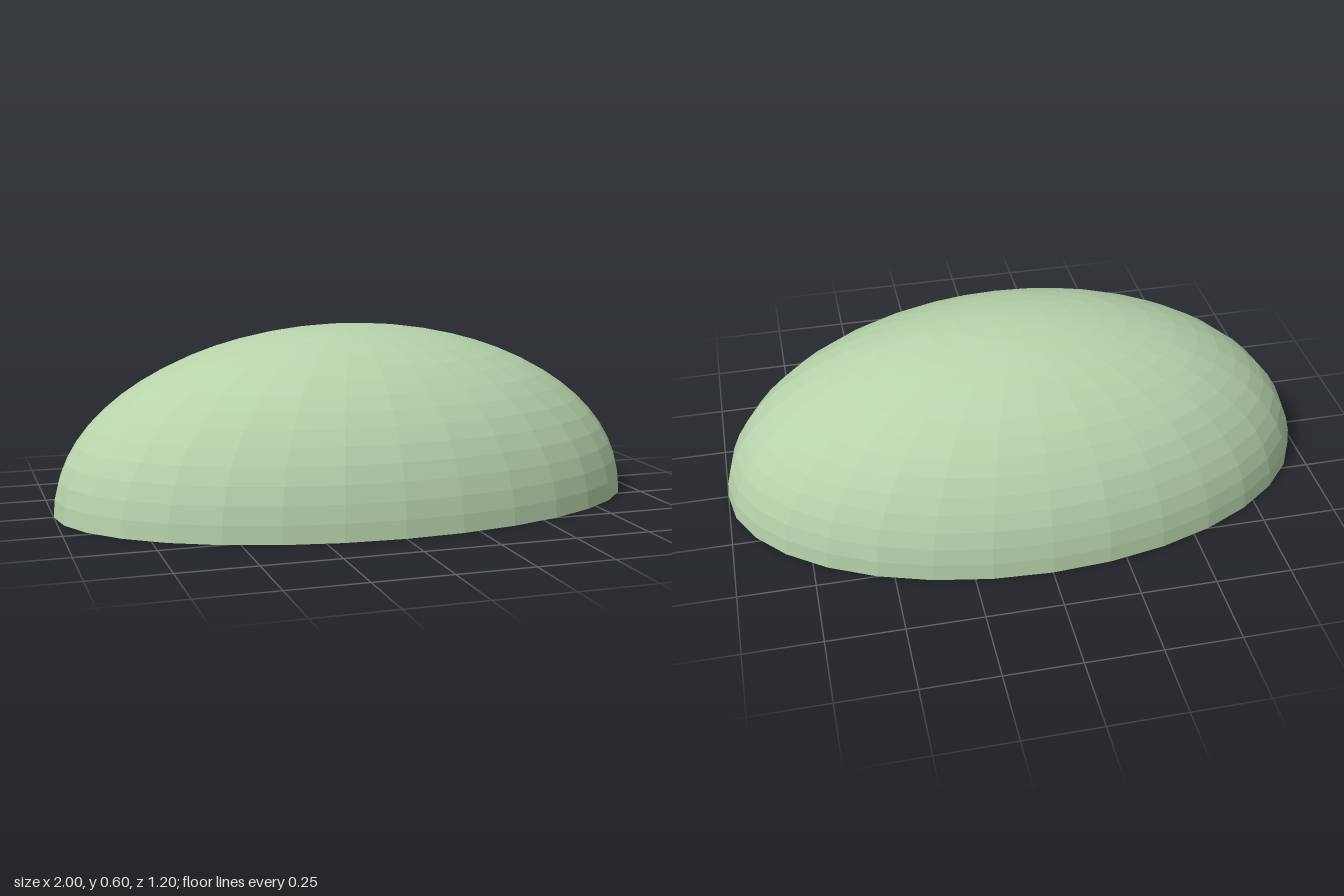
import * as THREE from 'three';

const FLOOR = 0.27; // height of the flat ceiling inside the hollow

const mat = (color) => new THREE.MeshStandardMaterial({ color, flatShading: true });
const green = mat(0xb7d3ab);
const red = mat(0xe02030);
const blue = mat(0x98a2cc);
const pink = mat(0xd8a0c0);
const teal = mat(0x4a9fb0);

function add(parent, name, geometry, material, x = 0, y = 0, z = 0) {
  const mesh = new THREE.Mesh(geometry, material);
  mesh.name = name;
  mesh.position.set(x, y, z);
  parent.add(mesh);
  return mesh;
}

// Flattened ball with a ring of cone spikes leaning outwards and down
function spikyBody(name, radius, height, spikes, spikeSize) {
  const group = new THREE.Group();
  group.name = name;
  add(group, 'spikyBodyCore', new THREE.SphereGeometry(radius, 24, 16), red).scale.y = height / radius;
  const up = new THREE.Vector3(0, 1, 0);
  for (let i = 0; i < spikes; i++) {
    const a = (i / spikes) * Math.PI * 2;
    const dir = new THREE.Vector3(Math.cos(a), -0.45, Math.sin(a)).normalize();
    const spike = add(group, 'spike', new THREE.ConeGeometry(spikeSize * 0.4, spikeSize, 4), red,
      Math.cos(a) * radius * 0.92, -height * 0.4, Math.sin(a) * radius * 0.92);
    spike.quaternion.setFromUnitVectors(up, dir);
  }
  return group;
}

export function createModel() {
  const model = new THREE.Group();
  model.name = 'halfCell';

  // Domed shell with a flat rim and a straight-walled oval hollow underneath
  const profile = [[0, FLOOR], [0.8, FLOOR], [0.8, 0]].map(([r, y]) => new THREE.Vector2(r, y));
  const rings = 16;
  for (let i = 0; i <= rings; i++) {
    const a = (i / rings) * Math.PI / 2;
    profile.push(new THREE.Vector2(i === rings ? 0 : Math.cos(a), 0.597 * Math.sin(a)));
  }
  const shell = new THREE.LatheGeometry(profile, 32);
  shell.scale(1, 1, 0.6);
  add(model, 'shell', shell, green);

  // Bodies set into the ceiling of the hollow
  add(model, 'nucleus', new THREE.SphereGeometry(0.2, 32, 20), blue, 0.04, 0.32, -0.04);
  add(model, 'vesicle', new THREE.SphereGeometry(0.075, 20, 14), pink, -0.28, 0.24, 0.15);
  add(model, 'vesicle', new THREE.SphereGeometry(0.06, 20, 14), pink, -0.44, 0.24, 0.02);
  add(model, 'tealBody', new THREE.SphereGeometry(0.075, 20, 14), teal, 0.29, 0.22, 0.22);

  const large = spikyBody('largeSpikyBody', 0.15, 0.08, 16, 0.06);
  large.position.set(0.4, 0.25, 0.14);
  model.add(large);
  const small = spikyBody('smallSpikyBody', 0.03, 0.025, 8, 0.035);
  small.position.set(-0.51, 0.25, -0.12);
  model.add(small);

  // Thin ridges curving along the end wall
  for (const y of [0.17, 0.2]) {
    const points = [];
    for (let i = 0; i <= 6; i++) {
      const a = Math.PI * (0.85 + 0.025 * i);
      points.push(new THREE.Vector3(0.79 * Math.cos(a), y, 0.474 * Math.sin(a)));
    }
    add(model, 'wallRidge', new THREE.TubeGeometry(new THREE.CatmullRomCurve3(points), 16, 0.008, 6), green);
  }
  return model;
}
